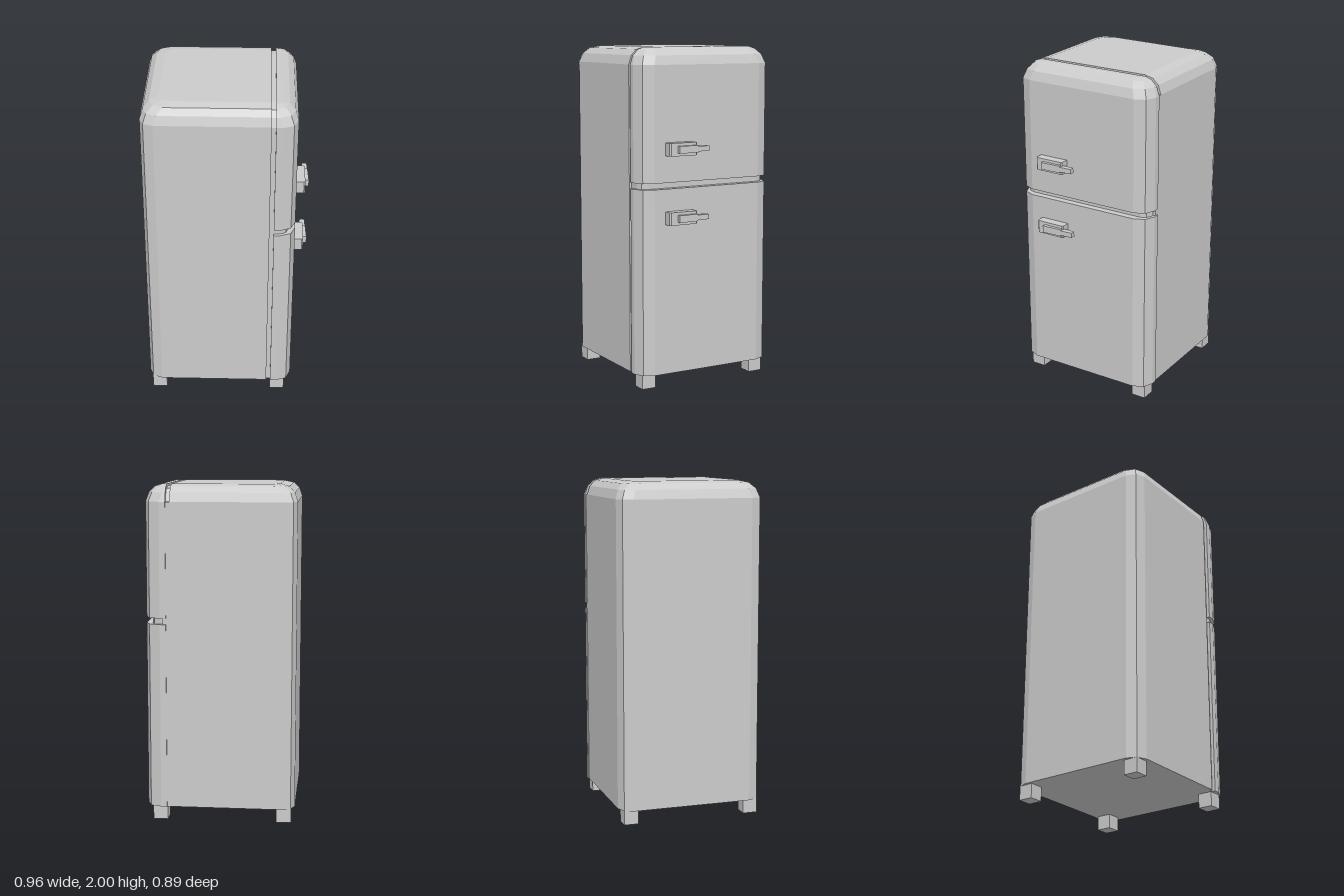
import * as THREE from 'three';

const material = new THREE.MeshStandardMaterial({ color: 0xcccccc, flatShading: true });

// Plan outline with one flat end (xFlat) and one end (xRound) with two-facet corners.
function outline(xFlat, xRound, halfZ, radius) {
  const dir = Math.sign(xRound - xFlat);
  const r = Math.min(radius, Math.abs(xRound - xFlat));
  const m = r * (1 - Math.SQRT1_2);
  const side = [
    [xFlat, halfZ],
    [xRound - dir * r, halfZ],
    [xRound - dir * m, halfZ - m],
    [xRound, halfZ - r],
  ];
  const ring = [...side, ...side.map(([x, z]) => [x, -z]).reverse()];
  return dir < 0 ? ring : ring.reverse();
}

// Stack outlines along a profile of [y, inset in z, inset in x], then cap both ends.
function shellGeometry(xFlat, xRound, halfZ, radius, profile) {
  const dir = Math.sign(xRound - xFlat);
  const rings = profile.map(([y, insetZ, insetX = insetZ]) =>
    outline(xFlat, xRound - dir * insetX, halfZ - insetZ, radius).map(([x, z]) => [x, y, z]));
  const pos = [];
  const tri = (a, b, c) => pos.push(...a, ...b, ...c);
  const n = rings[0].length;
  for (let k = 0; k < rings.length - 1; k++) {
    const low = rings[k], high = rings[k + 1];
    for (let i = 0; i < n; i++) {
      const j = (i + 1) % n;
      tri(low[i], high[i], low[j]);
      tri(low[j], high[i], high[j]);
    }
  }
  const bottom = rings[0], top = rings[rings.length - 1];
  for (let i = 1; i < n - 1; i++) {
    tri(bottom[0], bottom[i], bottom[i + 1]);
    tri(top[0], top[i + 1], top[i]);
  }
  const geo = new THREE.BufferGeometry();
  geo.setAttribute('position', new THREE.Float32BufferAttribute(pos, 3));
  geo.computeVertexNormals();
  return geo;
}

// Upright prism from an (x, z) plan.
function prism(plan, y0, y1) {
  const shape = new THREE.Shape(plan.map(([x, z]) => new THREE.Vector2(x, -z)));
  const geo = new THREE.ExtrudeGeometry(shape, { depth: y1 - y0, bevelEnabled: false });
  return geo.rotateX(-Math.PI / 2).translate(0, y0, 0);
}

export function createModel() {
  const root = new THREE.Group();
  root.name = 'refrigerator';
  const add = (name, geo, parent = root) => {
    const mesh = new THREE.Mesh(geo, material);
    mesh.name = name;
    parent.add(mesh);
    return mesh;
  };

  const base = 0.085;
  const roof = [[1.9, 0], [1.953, 0.018], [1.987, 0.052], [2, 0.105]];
  const doorRoof = [[1.9, 0], [1.953, 0.018], [1.987, 0.052], [2, 0.092]];

  // Cabinet and the recessed core seen in the gaps around the doors
  add('cabinet', shellGeometry(0.255, -0.48, 0.44, 0.08, [[base, 0], ...roof]));
  add('doorSeal', shellGeometry(0.2, 0.365, 0.425, 0.05,
    [[base, 0], [1.89, 0], [1.94, 0.02, 0.015], [1.975, 0.05, 0.03], [1.988, 0.12, 0.06]]));

  // Doors
  add('lowerDoor', shellGeometry(0.28, 0.406, 0.445, 0.09, [[base, 0], [1.187, 0]]));
  add('upperDoor', shellGeometry(0.28, 0.406, 0.445, 0.09, [[1.223, 0], ...doorRoof]));

  // Strip closing the gap on the hinge side
  add('hingeStrip', new THREE.BoxGeometry(0.06, 1.9 - base, 0.04)
    .translate(0.27, (1.9 + base) / 2, -0.42));

  // Handles: mounting block with a lever that tapers beyond it
  for (const [name, y] of [['lowerHandle', 1.017], ['upperHandle', 1.418]]) {
    const handle = new THREE.Group();
    handle.name = name;
    handle.position.y = y;
    root.add(handle);
    add('handleBlock', prism([[0.4, 0.1], [0.453, 0.1], [0.459, 0.107], [0.459, 0.275],
      [0.451, 0.283], [0.4, 0.283]], -0.038, 0.038), handle);
    add('leverRoot', prism([[0.445, 0.105], [0.476, 0.105], [0.481, 0.231], [0.455, 0.231]],
      -0.021, 0.021), handle);
    add('leverTip', prism([[0.443, 0.03], [0.473, 0.03], [0.476, 0.105], [0.441, 0.105]],
      -0.015, 0.015), handle);
  }

  // Feet
  for (const x of [-0.416, 0.322]) {
    for (const z of [-0.374, 0.374]) {
      add('foot', new THREE.BoxGeometry(0.088, 0.09, 0.088).translate(x, 0.045, z));
    }
  }
  return root;
}
